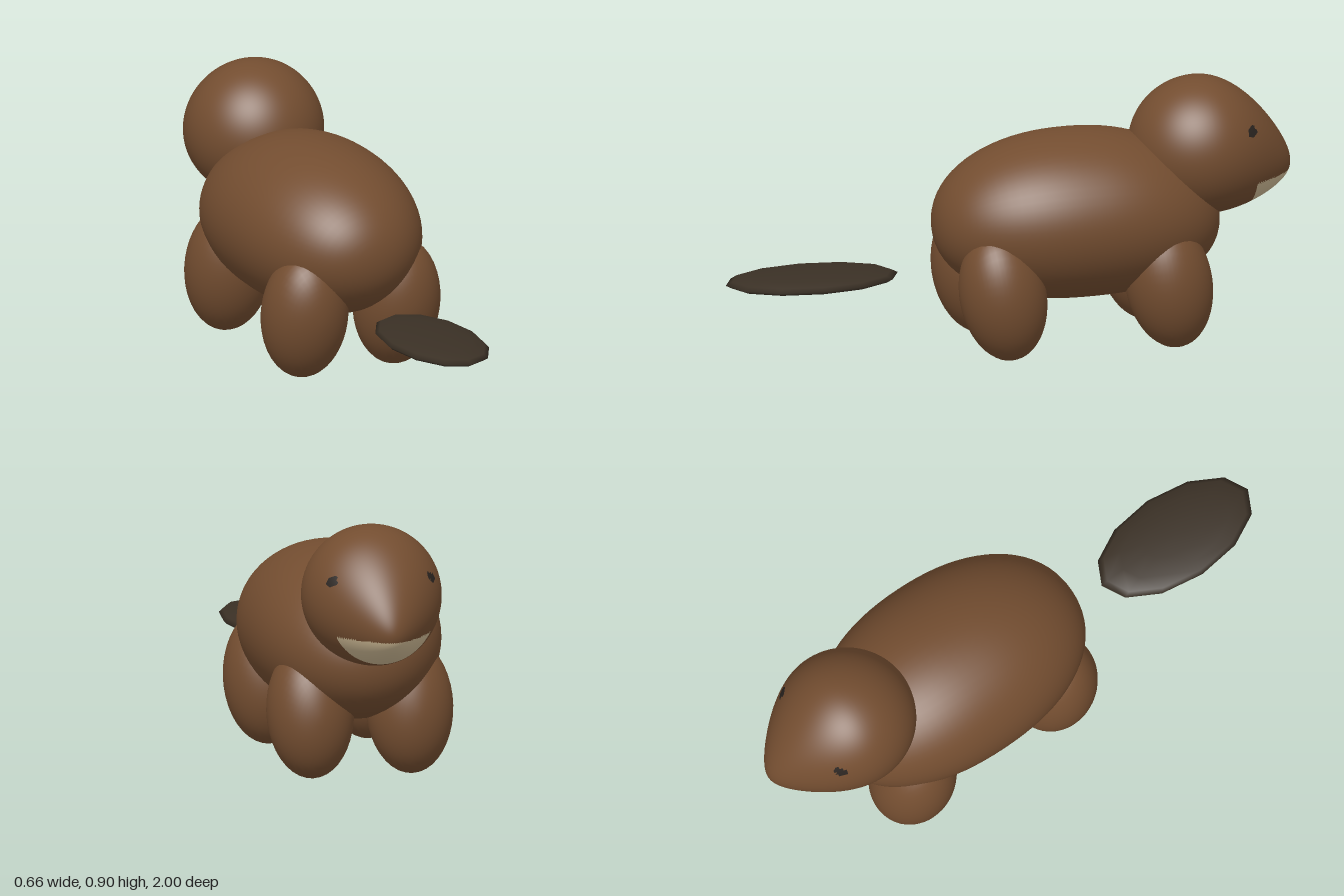
import * as THREE from 'three';
import { mergeVertices } from 'three/addons/utils/BufferGeometryUtils.js';

const mat = (name, color) => {
  const m = new THREE.MeshStandardMaterial({ color });
  m.name = name;
  return m;
};

// Sphere whose unit points are moved by a rule, with seamless smooth normals
function moulded(w, h, rule) {
  let g = new THREE.SphereGeometry(1, w, h);
  g.rotateX(Math.PI / 2);
  const p = g.attributes.position;
  const v = new THREE.Vector3();
  for (let i = 0; i < p.count; i++) {
    v.fromBufferAttribute(p, i);
    rule(v);
    p.setXYZ(i, v.x, v.y, v.z);
  }
  g.deleteAttribute('uv');
  g.deleteAttribute('normal');
  g = mergeVertices(g, 1e-5);
  g.computeVertexNormals();
  return g;
}

// Sorts the triangles into material groups by their centre
function paint(g, count, pick) {
  const p = g.attributes.position, idx = g.index.array;
  const lists = Array.from({ length: count }, () => []);
  const c = new THREE.Vector3(), v = new THREE.Vector3();
  for (let i = 0; i < idx.length; i += 3) {
    c.set(0, 0, 0);
    for (let k = 0; k < 3; k++) c.add(v.fromBufferAttribute(p, idx[i + k]));
    lists[pick(c.divideScalar(3))].push(idx[i], idx[i + 1], idx[i + 2]);
  }
  g.setIndex(lists.flat());
  let start = 0;
  lists.forEach((l, m) => {
    g.addGroup(start, l.length, m);
    start += l.length;
  });
  return g;
}

export function createModel() {
  const group = new THREE.Group();
  const fur = mat('brown fur', 0x734d30);
  const dark = mat('dark tail', 0x3a3025);
  const eye = mat('eye', 0x2a2420);
  const cream = mat('cream muzzle', 0xcdb994);
  const add = (name, geo, material) => {
    const m = new THREE.Mesh(geo, material);
    m.name = name;
    group.add(m);
    return m;
  };

  // Barrel body, a little lower at the chest
  add('body', moulded(64, 40, v => {
    const u = v.z, n = Math.hypot(v.x, v.y) || 1;
    const r = Math.pow(Math.max(0, 1 - Math.abs(u) ** 2.2), 1 / 2.2) / n;
    const drop = (u < 0 ? 0.04 : 0.015) * u * u;
    v.set(v.x * r * 0.33, 0.455 - drop + v.y * r * 0.29, -0.24 + u * 0.5);
  }), fur);

  // Head: round skull drawn out to a low muzzle, with eyes and chin coloured
  const head = moulded(112, 96, v => {
    const f = Math.max(0, -v.z), f2 = f * f;
    v.set(v.x * 0.24 * (1 - 0.4 * f2),
      0.66 - 0.08 * f2 + v.y * 0.24 * (1 - 0.3 * f2),
      -0.68 + v.z * (v.z < 0 ? 0.32 : 0.245));
  });
  paint(head, 3, c => {
    if (c.y < 0.553 && c.z < -0.84) return 1;
    return Math.hypot(c.y - 0.74, c.z + 0.82) < 0.018 ? 2 : 0;
  });
  add('head', head, [fur, cream, eye]);

  // Four stubby legs, leaning slightly
  const leg = moulded(40, 28, v => {
    v.set(v.x * 0.15, 0.23 + v.y * 0.23, v.z * 0.15 + v.y * 0.023);
  });
  for (const [row, z] of [['front', -0.522], ['back', 0.066]]) {
    for (const [side, x] of [['Left', 0.175], ['Right', -0.175]]) {
      add(row + side + 'Leg', leg, fur).position.set(x, 0, z);
    }
  }

  // Flat faceted-outline paddle tail
  const tail = new THREE.SphereGeometry(1, 12, 8);
  tail.scale(0.163, 0.031, 0.305);
  add('tail', tail, dark).position.set(0, 0.29, 0.695);

  return group;
}
